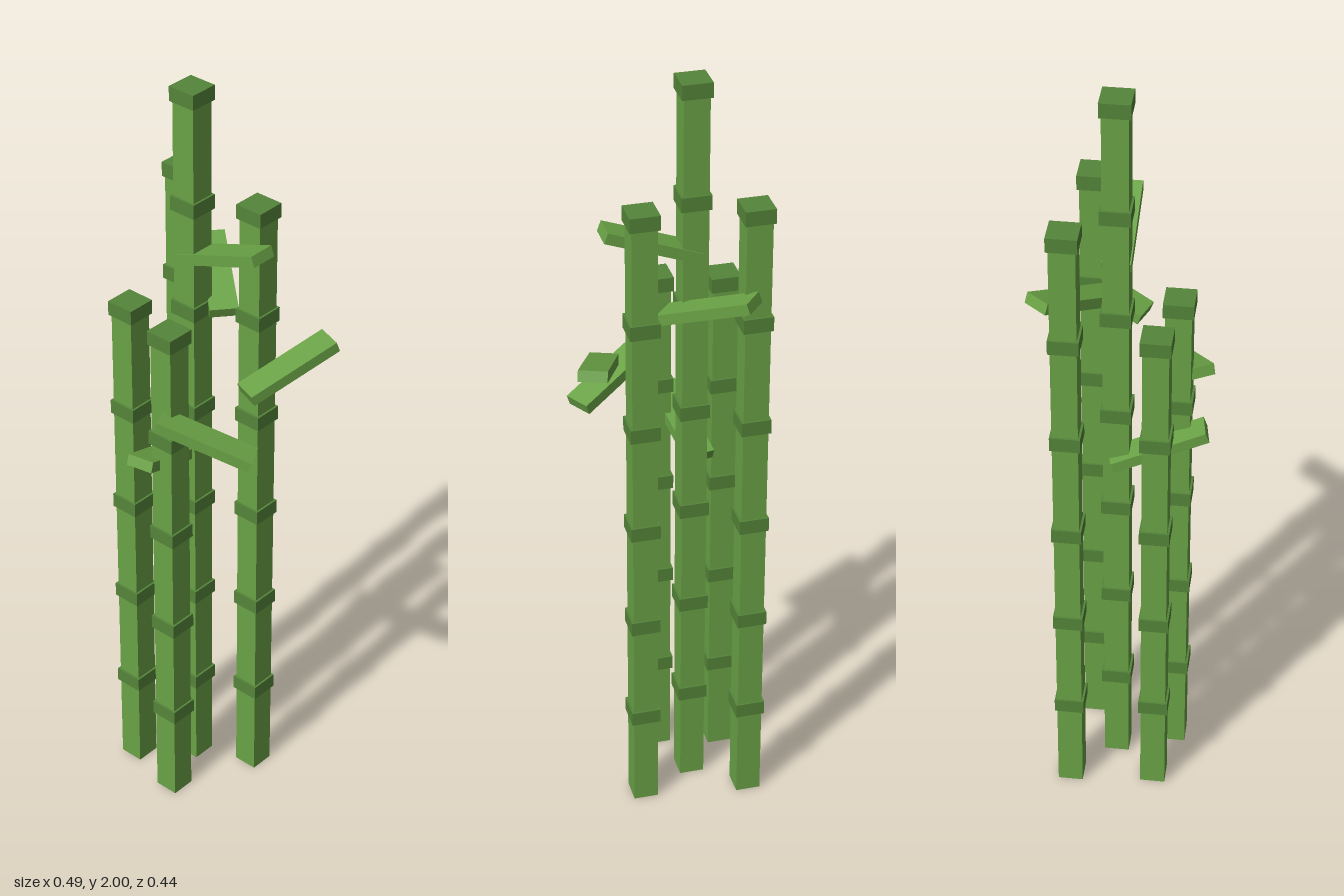
import * as THREE from 'three';

export function createModel() {
  const model = new THREE.Group();
  model.name = 'bambooCluster';
  const green = new THREE.MeshStandardMaterial({ name: 'bamboo green', color: 0x6aa346 });
  const darkGreen = new THREE.MeshStandardMaterial({ name: 'dark joint green', color: 0x55853a });

  const SEGMENT = 2 / 7, JOINT = 0.038;

  const box = (name, w, h, d, material) => {
    const mesh = new THREE.Mesh(new THREE.BoxGeometry(w, h, d), material);
    mesh.name = name;
    return mesh;
  };

  // Square stalk with a wider joint at the top of each segment
  function addStalk(x, z, segments) {
    const stalk = new THREE.Group();
    stalk.name = 'stalk';
    const height = segments * SEGMENT;
    const cane = box('cane', 0.064, height - 0.01, 0.064, green);
    cane.position.y = (height - 0.01) / 2;
    stalk.add(cane);
    for (let i = 1; i <= segments; i++) {
      const joint = box('joint', 0.075, JOINT, 0.075, darkGreen);
      joint.position.y = i * SEGMENT - JOINT / 2;
      stalk.add(joint);
    }
    stalk.position.set(x, 0, z);
    model.add(stalk);
  }

  // Flat leaf rising 20 degrees towards the direction (dx, dz)
  function addLeaf(x, y, z, dx, dz) {
    const leaf = box('leaf', 0.248, 0.028, 0.071, green);
    leaf.position.set(x, y, z);
    leaf.rotation.set(0, Math.atan2(-dz, dx), THREE.MathUtils.degToRad(20), 'YXZ');
    model.add(leaf);
  }

  [
    [-0.082, -0.013, 7],
    [-0.207, -0.12, 6],
    [0.062, -0.085, 6],
    [-0.189, 0.095, 5],
    [-0.028, 0.131, 5],
  ].forEach((s) => addStalk(...s));

  [
    [0.021, 1.59, -0.013, 1, 0],
    [-0.083, 1.022, 0.089, 0.043, 0.243],
    [0.167, 1.307, -0.079, 0.084, -0.23],
    [-0.0955, 1.449, -0.115, -0.189, -0.158],
    [0.084, 1.162, 0.1265, -0.211, 0.12],
  ].forEach((l) => addLeaf(...l));

  return model;
}
